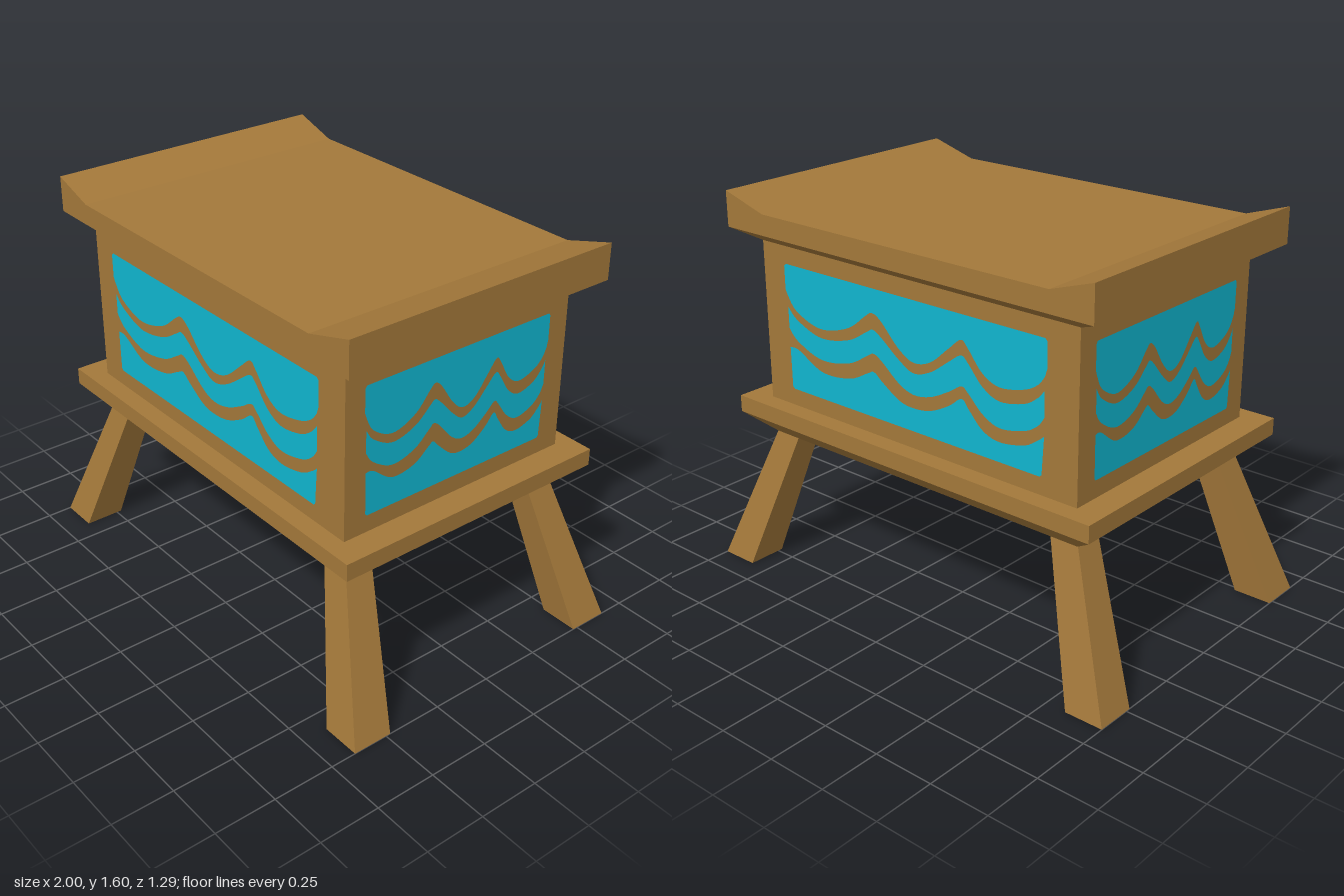
import * as THREE from 'three';

const wood = new THREE.MeshStandardMaterial({ color: 0xa3783a });
wood.name = 'wood';
const water = new THREE.MeshStandardMaterial({ color: 0x10b6d0 });
water.name = 'waterBlue';

// Solid through rectangular sections, listed from the bottom up: [y, x0, x1, z0, z1]
function loft(sections) {
  const pos = [];
  const rings = sections.map(([y, x0, x1, z0, z1]) =>
    [[x0, y, z1], [x1, y, z1], [x1, y, z0], [x0, y, z0]]);
  const quad = (a, b, c, d) => pos.push(...a, ...b, ...c, ...a, ...c, ...d);
  for (let r = 0; r < rings.length - 1; r++) {
    for (let i = 0; i < 4; i++) {
      const j = (i + 1) % 4;
      quad(rings[r][i], rings[r][j], rings[r + 1][j], rings[r + 1][i]);
    }
  }
  const [b, t] = [rings[0], rings[rings.length - 1]];
  quad(b[3], b[2], b[1], b[0]);
  quad(t[0], t[1], t[2], t[3]);
  const g = new THREE.BufferGeometry();
  g.setAttribute('position', new THREE.Float32BufferAttribute(pos, 3));
  g.computeVertexNormals();
  return g;
}

const centred = (y, hx, hz) => [y, -hx, hx, -hz, hz];

// Heights of the wave edges at shared stations along the panel
const U = [-0.65, -0.6, -0.47, -0.32, -0.22, -0.185, -0.14, -0.055, 0.02, 0.105,
  0.195, 0.255, 0.29, 0.355, 0.435, 0.545, 0.605, 0.635];
const WAVES = [
  [1.205, 1.145, 1.104, 1.142, 1.215, 1.233, 1.21, 1.126, 1.088, 1.11,
    1.185, 1.233, 1.206, 1.131, 1.099, 1.12, 1.153, 1.19],
  [1.157, 1.11, 1.067, 1.094, 1.15, 1.168, 1.145, 1.082, 1.046, 1.072,
    1.135, 1.174, 1.15, 1.08, 1.046, 1.067, 1.105, 1.14],
  [1.067, 1.02, 0.976, 1.0, 1.055, 1.072, 1.05, 0.985, 0.96, 0.975,
    1.02, 1.056, 1.035, 0.975, 0.944, 0.965, 1.0, 1.04],
  [0.987, 0.985, 0.925, 0.937, 0.985, 0.998, 0.967, 0.917, 0.906, 0.92,
    0.965, 1.008, 0.975, 0.912, 0.89, 0.91, 0.945, 0.97],
];
const edge = (i) => new THREE.SplineCurve(
  U.map((u, k) => new THREE.Vector2(u, WAVES[i][k]))).getPoints(90);
const v = (x, y) => new THREE.Vector2(x, y);

// Three painted bands separated by wavy strips of wood
const bands = [
  [...edge(0), v(0.645, 1.22), v(0.645, 1.32), v(0.635, 1.33),
    v(-0.65, 1.33), v(-0.66, 1.32), v(-0.66, 1.225)],
  [...edge(2), ...edge(1).reverse()],
  [v(-0.648, 0.82), v(-0.638, 0.812), v(0.615, 0.812), v(0.625, 0.82),
    v(0.63, 0.9), ...edge(3).reverse()],
].map((pts) => new THREE.ShapeGeometry(new THREE.Shape(pts)));

export function createModel() {
  const model = new THREE.Group();
  model.name = 'chestOnLegs';
  const add = (geometry, material, name, parent = model) => {
    const m = new THREE.Mesh(geometry, material);
    m.name = name;
    parent.add(m);
    return m;
  };

  // Bevelled base tray and box body
  add(loft([centred(0.585, 0.775, 0.51), centred(0.67, 0.89, 0.6), centred(0.74, 0.89, 0.6)]),
    wood, 'base');
  add(loft([centred(0.735, 0.78, 0.523), centred(1.405, 0.78, 0.523)]), wood, 'body');

  // Lid with upswept ends over a bevelled underside
  add(loft([centred(1.4, 0.78, 0.523), centred(1.45, 0.89, 0.6)]), wood, 'lidUnderside');
  const profile = new THREE.Shape([v(-0.89, 1.45), v(0.89, 1.45), v(0.89, 1.595),
    v(0.685, 1.535), v(-0.705, 1.535), v(-0.89, 1.595)]);
  const lid = new THREE.ExtrudeGeometry(profile, { depth: 1.2, bevelEnabled: false });
  lid.translate(0, 0, -0.6);
  add(lid, wood, 'lid');

  // Four splayed, tapering legs
  for (const sx of [-1, 1]) {
    for (const sz of [-1, 1]) {
      const span = (s, a, b) => (s > 0 ? [a, b] : [-b, -a]);
      add(loft([
        [0, ...span(sx, 0.838, 1), ...span(sz, 0.48, 0.645)],
        [0.59, ...span(sx, 0.653, 0.775), ...span(sz, 0.39, 0.508)],
      ]), wood, `${sz > 0 ? 'front' : 'back'}${sx > 0 ? 'Left' : 'Right'}Leg`);
    }
  }

  // Wave panels on all four sides
  ['front', 'left', 'back', 'right'].forEach((side, i) => {
    const panel = new THREE.Group();
    panel.name = `${side}WavePanel`;
    panel.rotation.y = i * Math.PI / 2;
    const onEnd = i % 2 === 1;
    bands.forEach((g, k) => {
      const m = add(g, water, ['upperBand', 'middleBand', 'lowerBand'][k], panel);
      m.position.z = (onEnd ? 0.78 : 0.523) + 0.004;
      m.scale.x = onEnd ? 0.667 : 1;
    });
    model.add(panel);
  });

  return model;
}
